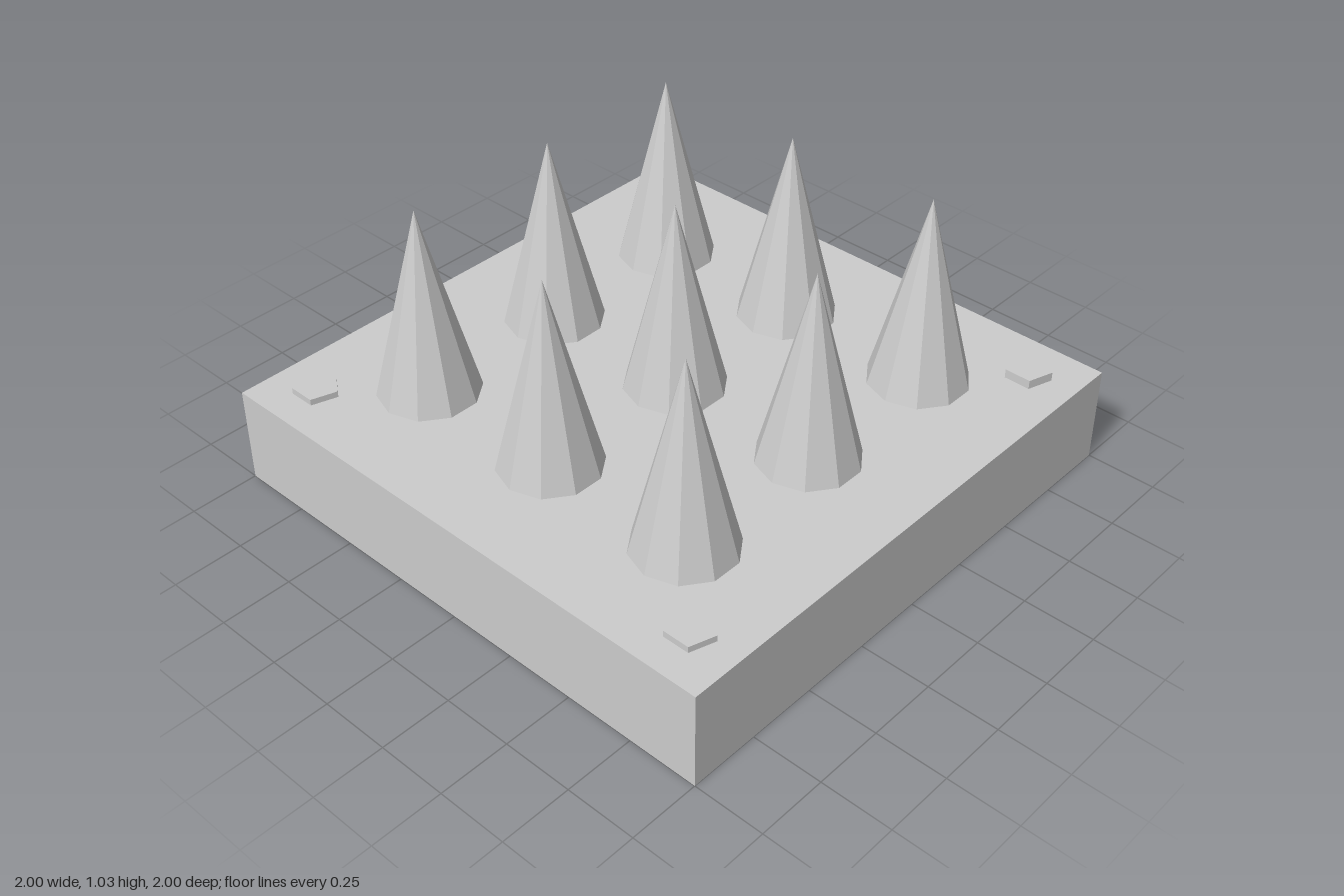
import * as THREE from 'three';

const BASE_TOP = 0.35;
const material = new THREE.MeshStandardMaterial({
  color: 0xcccccc, flatShading: true, side: THREE.DoubleSide,
});

function addPart(parent, name, geometry, x, y, z) {
  const mesh = new THREE.Mesh(geometry, material);
  mesh.name = name;
  mesh.position.set(x, y, z);
  parent.add(mesh);
  return mesh;
}

export function createModel() {
  const model = new THREE.Group();
  model.name = 'spikeTrap';

  // Hollow base: four thin walls and a top plate, open underneath
  const base = new THREE.Group();
  base.name = 'base';
  model.add(base);
  const plate = new THREE.PlaneGeometry(2, 2).rotateX(-Math.PI / 2);
  addPart(base, 'topPlate', plate, 0, BASE_TOP, 0);
  const wall = new THREE.PlaneGeometry(2, BASE_TOP);
  ['frontWall', 'leftWall', 'backWall', 'rightWall'].forEach((name, i) => {
    const angle = i * Math.PI / 2;
    addPart(base, name, wall, Math.sin(angle), BASE_TOP / 2, Math.cos(angle)).rotation.y = angle;
  });

  // Three by three grid of ten-sided spikes
  const spikeHeight = 0.685;
  const spike = new THREE.ConeGeometry(0.175, spikeHeight, 10, 1, true, Math.PI / 2);
  for (const x of [-0.57, 0, 0.565]) {
    for (const z of [-0.565, 0, 0.567]) {
      addPart(model, 'spike', spike, x, BASE_TOP + spikeHeight / 2, z);
    }
  }

  // Five-sided corner studs pointing to +x, slightly taller on the left
  for (const side of [-1, 1]) {
    const height = side > 0 ? 0.032 : 0.022;
    const stud = new THREE.CylinderGeometry(0.08, 0.08, height, 5, 1, false, Math.PI / 2);
    for (const z of [-0.828, 0.825]) {
      addPart(model, 'cornerStud', stud, side * 0.825, BASE_TOP + height / 2, z);
    }
  }

  return model;
}
